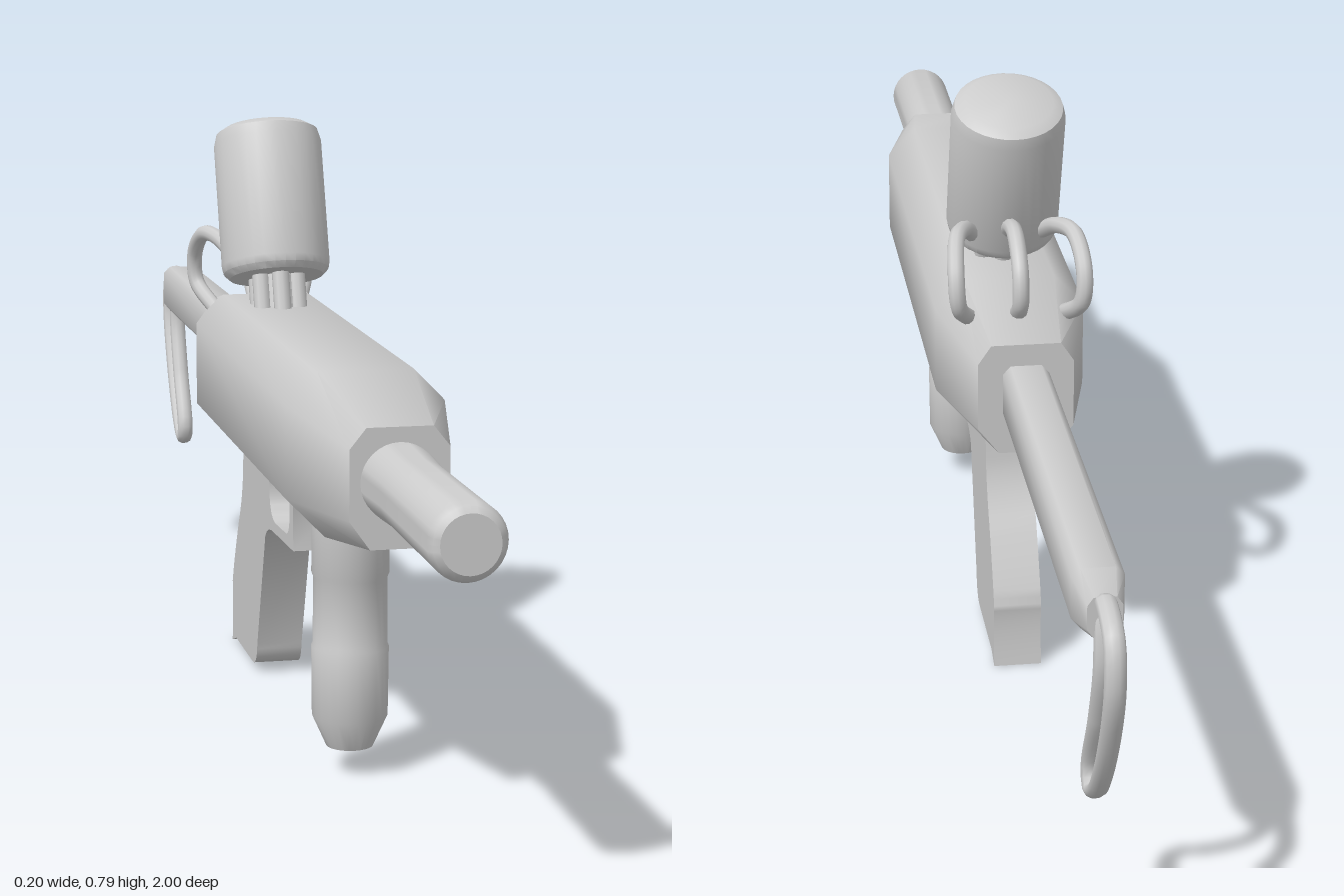
import * as THREE from 'three';
import { toCreasedNormals } from 'three/addons/utils/BufferGeometryUtils.js';

const material = new THREE.MeshStandardMaterial({ color: 0xcccccc, side: THREE.DoubleSide });

function add(parent, name, geometry) {
  const mesh = new THREE.Mesh(geometry, material);
  mesh.name = name;
  parent.add(mesh);
  return mesh;
}

// Octagonal ring: half width, top and bottom half widths, then heights from low to high
const octagon = (z, w, top, bottom, y0, y1, y2, y3) => [
  [w, y1, z], [w, y2, z], [top, y3, z], [-top, y3, z],
  [-w, y2, z], [-w, y1, z], [-bottom, y0, z], [bottom, y0, z],
];

// Skin a list of rings ordered from back to front, with flat caps
function loft(rings, crease) {
  const pos = [];
  const n = rings[0].length;
  const tri = (a, b, c) => pos.push(...a, ...b, ...c);
  for (let s = 0; s < rings.length - 1; s++) {
    for (let i = 0; i < n; i++) {
      const j = (i + 1) % n;
      const [a, b] = [rings[s], rings[s + 1]];
      tri(a[i], a[j], b[j]);
      tri(a[i], b[j], b[i]);
    }
  }
  const first = rings[0], last = rings[rings.length - 1];
  for (let i = 1; i < n - 1; i++) {
    tri(first[0], first[i + 1], first[i]);
    tri(last[0], last[i], last[i + 1]);
  }
  const g = new THREE.BufferGeometry();
  g.setAttribute('position', new THREE.Float32BufferAttribute(pos, 3));
  return toCreasedNormals(g, crease);
}

// Turned part from [radius, height] pairs
const turned = (profile, sides = 32) => toCreasedNormals(
  new THREE.LatheGeometry(profile.map(([r, y]) => new THREE.Vector2(r, y)), sides), 0.6);

const tube = (points, radius, closed = false) => new THREE.TubeGeometry(
  new THREE.CatmullRomCurve3(points.map(p => new THREE.Vector3(...p)), closed), 48, radius, 10, closed);

export function createModel() {
  const model = new THREE.Group();
  model.name = 'launcher';

  // Long tapered body
  add(model, 'body', loft([
    octagon(-0.30, 0.062, 0.045, 0.035, 0.35, 0.385, 0.475, 0.5),
    octagon(-0.14, 0.099, 0.06, 0.05, 0.325, 0.375, 0.49, 0.53),
    octagon(0.50, 0.099, 0.06, 0.05, 0.325, 0.375, 0.49, 0.53),
    octagon(0.68, 0.06, 0.04, 0.035, 0.35, 0.385, 0.47, 0.495),
  ], 0.85));

  // Barrel with a rounded tip
  const barrel = add(model, 'barrel', turned([
    [0.047, 0], [0.047, 0.04], [0.044, 0.1], [0.045, 0.325], [0.041, 0.335], [0.034, 0.34], [0, 0.34],
  ]));
  barrel.rotation.x = Math.PI / 2;
  barrel.position.set(0, 0.43, 0.66);

  // Front hand grip, with slightly recessed band
  const foregrip = add(model, 'foregrip', turned([
    [0, 0.035], [0.03, 0.035], [0.048, 0.075], [0.049, 0.165],
    [0.047, 0.17], [0.047, 0.255], [0.049, 0.26], [0.049, 0.34],
  ], 24));
  foregrip.position.z = 0.42;

  // Pistol grip and guard cut from one side outline (z, y)
  const outline = new THREE.Shape();
  outline.moveTo(0.23, 0.34);
  outline.lineTo(0.215, 0.31);
  outline.lineTo(0.22, 0.24);
  outline.lineTo(0.09, 0.235);
  outline.quadraticCurveTo(0.04, 0.235, 0.025, 0.215);
  outline.lineTo(-0.035, 0.045);
  outline.quadraticCurveTo(-0.04, 0.01, -0.07, 0.01);
  outline.lineTo(-0.2, 0.01);
  outline.lineTo(-0.23, 0);
  outline.quadraticCurveTo(-0.222, 0.06, -0.228, 0.09);
  outline.quadraticCurveTo(-0.215, 0.125, -0.18, 0.185);
  outline.quadraticCurveTo(-0.145, 0.235, -0.142, 0.275);
  outline.lineTo(-0.135, 0.34);
  const opening = new THREE.Path();
  opening.moveTo(0.09, 0.325);
  opening.lineTo(0.17, 0.325);
  opening.quadraticCurveTo(0.195, 0.325, 0.195, 0.29);
  opening.quadraticCurveTo(0.195, 0.255, 0.17, 0.253);
  opening.lineTo(0.1, 0.25);
  opening.quadraticCurveTo(0.055, 0.25, 0.055, 0.295);
  opening.quadraticCurveTo(0.055, 0.325, 0.09, 0.325);
  outline.holes.push(opening);
  const gripGeometry = new THREE.ExtrudeGeometry(outline, { depth: 0.064, bevelEnabled: false, curveSegments: 8 });
  gripGeometry.translate(0, 0, -0.032);
  gripGeometry.rotateY(-Math.PI / 2);
  add(model, 'pistolGripAndGuard', toCreasedNormals(gripGeometry, 0.6));

  // Tilted canister on a fluted neck
  const canister = new THREE.Group();
  canister.name = 'canister';
  canister.position.set(-0.002, 0.567, -0.045);
  canister.rotation.x = -0.35;
  model.add(canister);
  add(canister, 'tank', turned([
    [0, 0], [0.065, 0], [0.073, 0.008], [0.075, 0.018], [0.075, 0.19], [0.071, 0.205], [0.058, 0.213], [0, 0.213],
  ]));
  const core = add(canister, 'neck', new THREE.CylinderGeometry(0.027, 0.027, 0.09, 16));
  core.position.y = -0.035;
  for (let i = 0; i < 6; i++) {
    const a = (i + 0.5) * Math.PI / 3;
    const rib = add(canister, 'neckRib', new THREE.CylinderGeometry(0.012, 0.012, 0.09, 10));
    rib.position.set(0.029 * Math.cos(a), -0.035, 0.029 * Math.sin(a));
  }

  // Three hoses looping from canister to body
  for (const side of [-1, 0, 1]) {
    const spread = (x) => side * x;
    add(model, 'hose', tube([
      [spread(0.045), 0.58, -0.10], [spread(0.062), 0.607, -0.155], [spread(0.077), 0.61, -0.2],
      [spread(0.083), 0.575, -0.245], [spread(0.08), 0.535, -0.248], [spread(0.06), 0.5, -0.2],
    ], 0.011));
  }

  // Straight stock bar with chamfered edges
  add(model, 'stockBar', loft([
    octagon(-0.92, 0.02, 0.013, 0.013, 0.408, 0.418, 0.447, 0.457),
    octagon(-0.87, 0.03, 0.02, 0.02, 0.395, 0.407, 0.458, 0.468),
    octagon(-0.28, 0.03, 0.02, 0.02, 0.395, 0.407, 0.46, 0.471),
  ], 0.85));

  // Bent shoulder loop
  const loop = add(model, 'shoulderLoop', tube([
    [0, 0.45, -0.91], [0, 0.447, -0.955], [0, 0.43, -0.982], [0, 0.38, -0.99],
    [0, 0.29, -0.955], [0, 0.2, -0.89], [0, 0.18, -0.855], [0, 0.2, -0.843],
    [0, 0.29, -0.888], [0, 0.37, -0.918], [0, 0.42, -0.917],
  ], 0.009, true));
  loop.scale.x = 1.4;

  return model;
}
